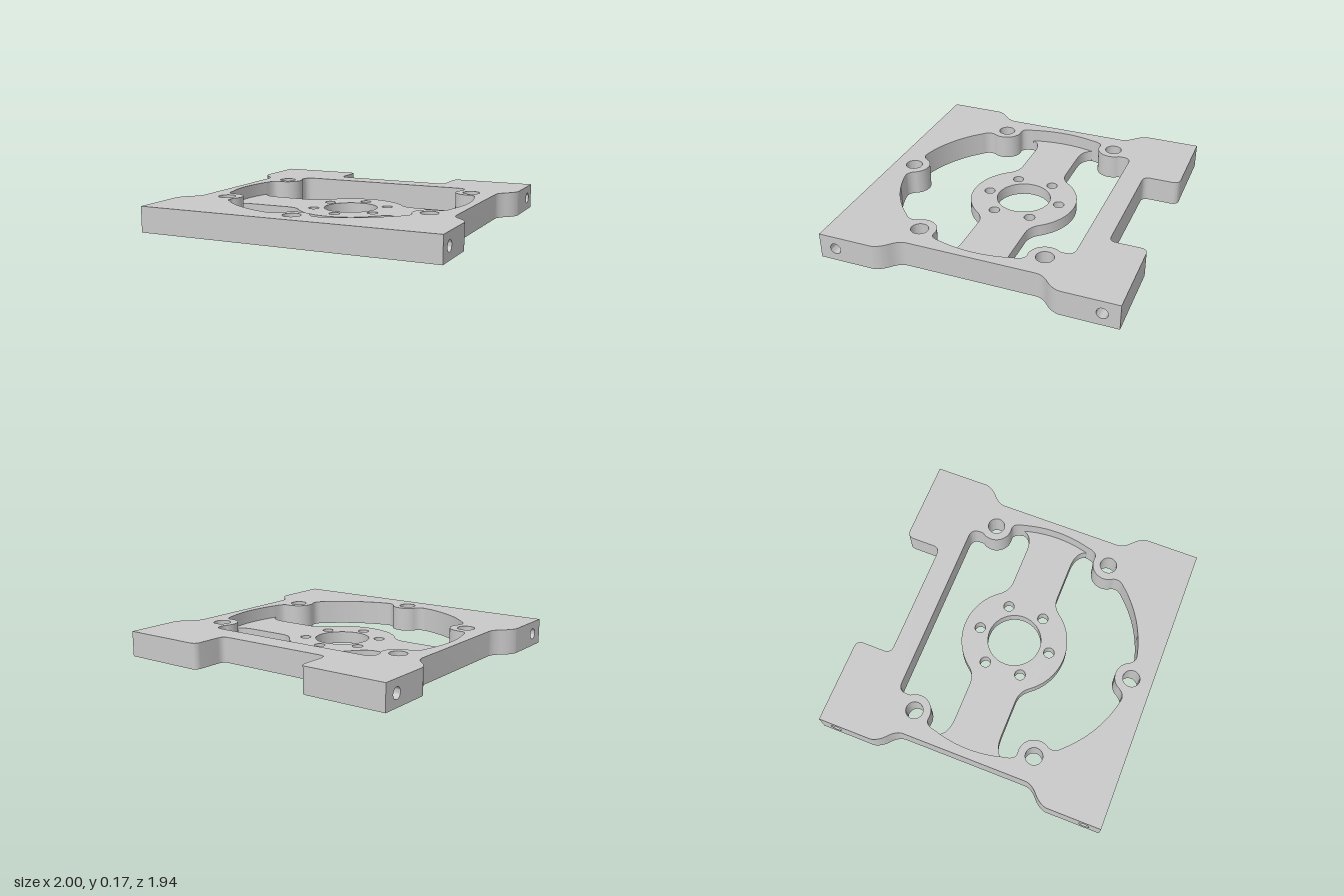
import * as THREE from 'three';
import { toCreasedNormals } from 'three/addons/utils/BufferGeometryUtils.js';

const H = 0.169;       // frame thickness
const BAR = 0.08;      // thickness of the recessed crossbar
const RING = 0.83;     // radius of the round pocket
const BOSS = 0.108;    // radius of the screw bosses
const SEG = 10;
const rad = (d) => (d * Math.PI) / 180;
const polar = (cx, cy, r, d) => [cx + r * Math.cos(rad(d)), cy + r * Math.sin(rad(d))];
const arc = (p, cx, cy, r, a, b, cw = false) => p.absarc(cx, cy, r, rad(a), rad(b), cw);

// Right half, listed from back to front, mirrored into a closed counter-clockwise outline
function mirrored(half) {
  const left = half.filter((p) => p.x > 1e-5).map((p) => new THREE.Vector2(-p.x, p.y));
  return [...half.slice().reverse(), ...left];
}

function circleHole(x, y, r) {
  return new THREE.Path().absarc(x, y, r, 0, Math.PI * 2);
}

// Plan shape (y = towards the back) raised from the ground
function slab(shape, height) {
  const g = new THREE.ExtrudeGeometry(shape, { depth: height, bevelEnabled: false, curveSegments: 20 });
  g.rotateX(-Math.PI / 2);
  return toCreasedNormals(g, 0.5);
}

// Drops the flat end walls at x = +-1, which are replaced by drilled faces
function withoutEndWalls(g) {
  const pos = g.attributes.position;
  const nor = g.attributes.normal;
  const p = [], n = [];
  for (let i = 0; i < pos.count; i += 3) {
    if ([0, 1, 2].every((k) => Math.abs(pos.getX(i + k)) > 0.9999)) continue;
    for (let k = i; k < i + 3; k++) {
      p.push(pos.getX(k), pos.getY(k), pos.getZ(k));
      n.push(nor.getX(k), nor.getY(k), nor.getZ(k));
    }
  }
  const out = new THREE.BufferGeometry();
  out.setAttribute('position', new THREE.Float32BufferAttribute(p, 3));
  out.setAttribute('normal', new THREE.Float32BufferAttribute(n, 3));
  return out;
}

function frameShape() {
  // Outer edge with rear notch and narrowed waist
  const o = new THREE.Path();
  o.moveTo(0, 0.723);
  o.lineTo(0.367, 0.723);
  o.quadraticCurveTo(0.417, 0.723, 0.417, 0.773);
  o.lineTo(0.417, 0.92);
  o.quadraticCurveTo(0.417, 0.97, 0.467, 0.97);
  o.lineTo(1, 0.97);
  o.lineTo(1, 0.605);
  o.quadraticCurveTo(0.99, 0.555, 0.945, 0.515);
  o.quadraticCurveTo(0.89, 0.47, 0.89, 0.42);
  o.lineTo(0.89, -0.42);
  o.quadraticCurveTo(0.89, -0.47, 0.945, -0.515);
  o.quadraticCurveTo(0.99, -0.555, 1, -0.605);
  o.lineTo(1, -0.97);
  o.lineTo(0, -0.97);

  // Central opening, wrapping round the screw bosses
  const c = new THREE.Path();
  c.moveTo(0, 0.57);
  c.lineTo(0.575, 0.57);
  c.quadraticCurveTo(0.635, 0.57, 0.635, 0.515);
  c.quadraticCurveTo(0.637, 0.5, ...polar(0.72, 0.417, BOSS, 143));
  arc(c, 0.72, 0.417, BOSS, 143, 280);
  c.quadraticCurveTo(0.785, 0.315, ...polar(0, 0, RING, 16.4));
  arc(c, 0, 0, RING, 16.4, -16.4, true);
  c.quadraticCurveTo(0.785, -0.315, ...polar(0.72, -0.417, BOSS, 80));
  arc(c, 0.72, -0.417, BOSS, 80, 217);
  c.quadraticCurveTo(0.65, -0.53, ...polar(0, 0, RING, -43));
  arc(c, 0, 0, RING, -43, -78.5, true);
  c.quadraticCurveTo(0.115, -0.822, ...polar(0, -0.827, BOSS, 36));
  arc(c, 0, -0.827, BOSS, 36, 90);

  const shape = new THREE.Shape(mirrored(o.getPoints(SEG)));
  shape.holes.push(new THREE.Path(mirrored(c.getPoints(SEG))), circleHole(0, -0.829, 0.057));
  for (const x of [-0.72, 0.72]) {
    for (const y of [-0.417, 0.417]) shape.holes.push(circleHole(x, y, 0.057));
  }
  return shape;
}

function crossbarShape() {
  // Rear right quarter from hub to end, mirrored to the front and to the other side
  const q = new THREE.Path();
  arc(q, 0, 0, 0.36, 90, 37.7, true);
  q.quadraticCurveTo(0.328, 0.164, 0.4, 0.164);
  q.lineTo(0.65, 0.164);
  q.quadraticCurveTo(0.775, 0.164, ...polar(0, 0, RING, 16.4));
  arc(q, 0, 0, RING, 16.4, 0, true);
  const quarter = q.getPoints(SEG);
  const front = quarter.slice(0, -1).reverse().map((p) => new THREE.Vector2(p.x, -p.y));
  const shape = new THREE.Shape(mirrored([...quarter, ...front]));

  // Bore and bolt circle
  shape.holes.push(circleHole(0, 0, 0.181));
  for (let i = 0; i < 6; i++) {
    shape.holes.push(circleHole(...polar(0, 0, 0.251, 90 + i * 60), 0.036));
  }
  return shape;
}

export function createModel() {
  const group = new THREE.Group();
  const metal = new THREE.MeshStandardMaterial({ color: 0xc8c8c8 });
  metal.name = 'grey metal';
  const add = (name, geometry, parent = group) => {
    const mesh = new THREE.Mesh(geometry, metal);
    mesh.name = name;
    parent.add(mesh);
  };

  add('frame', withoutEndWalls(slab(frameShape(), H)));
  add('crossbar', slab(crossbarShape(), BAR));

  // Drilled end faces with blind side holes
  const r = 0.036, depth = 0.3, holeZ = 0.862;
  for (const side of [1, -1]) {
    const ends = new THREE.Group();
    ends.name = side > 0 ? 'leftEndFaces' : 'rightEndFaces';
    ends.rotation.y = side > 0 ? 0 : Math.PI;
    group.add(ends);
    for (const s of [-1, 1]) {
      const a = Math.min(s * 0.605, s * 0.97), b = Math.max(s * 0.605, s * 0.97);
      const face = new THREE.Shape([[a, 0], [b, 0], [b, H], [a, H]].map((p) => new THREE.Vector2(...p)));
      face.holes.push(circleHole(s * holeZ, H / 2, r));
      const g = new THREE.ShapeGeometry(face, 16);
      g.rotateY(Math.PI / 2);
      g.translate(1, 0, 0);
      add('endFace', g, ends);

      const profile = [[r, depth], [r, 0], [0, 0]].map((p) => new THREE.Vector2(...p));
      const hole = toCreasedNormals(new THREE.LatheGeometry(profile, 32), 0.5);
      hole.rotateZ(-Math.PI / 2);
      hole.translate(1 - depth, H / 2, s * holeZ);
      add('sideHole', hole, ends);
    }
  }
  return group;
}
